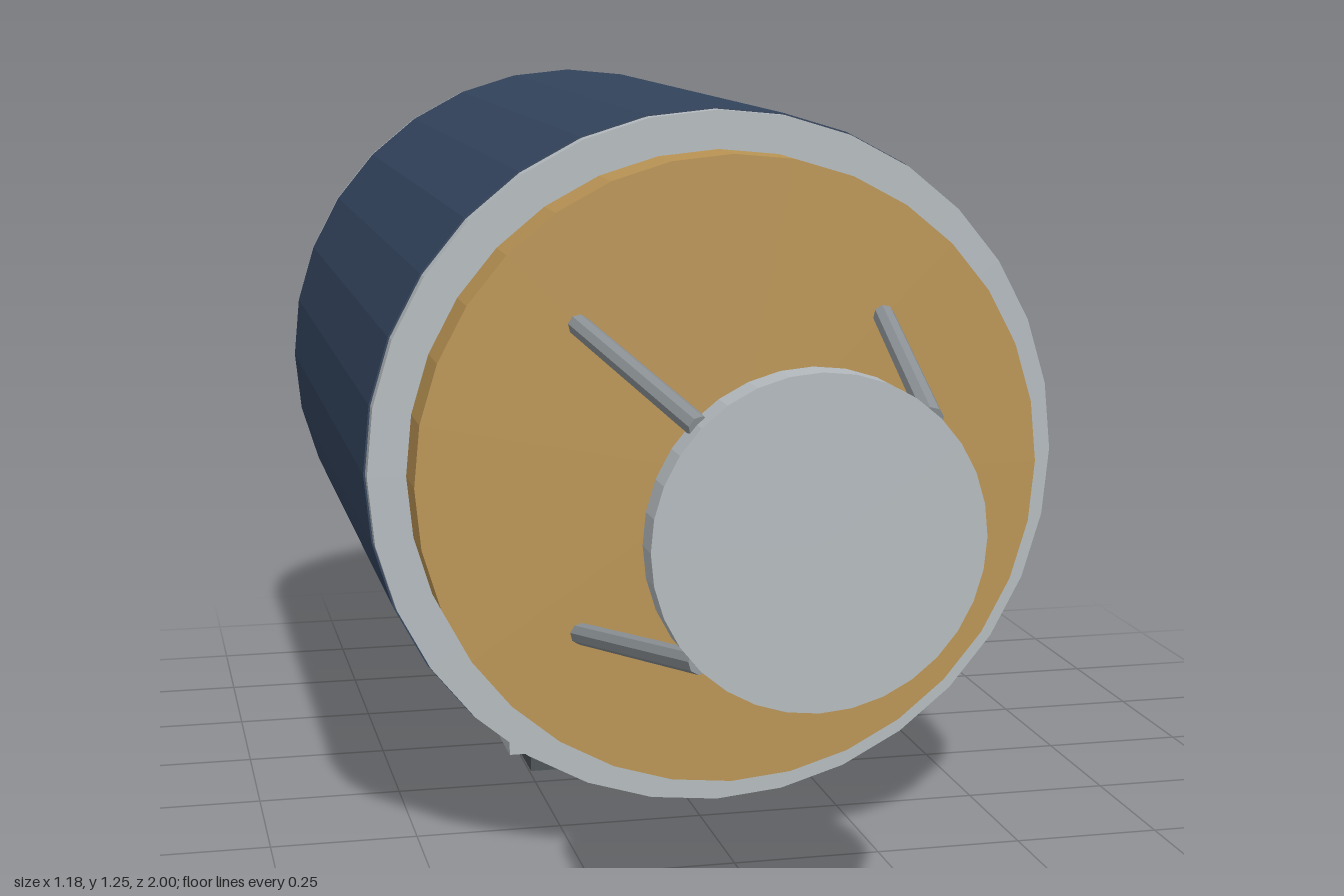
import * as THREE from 'three';

const AXIS_Y = 0.657;

function material(name, color, flatShading = true) {
  const m = new THREE.MeshStandardMaterial({ color, flatShading });
  m.name = name;
  return m;
}

export function createModel() {
  const group = new THREE.Group();
  group.name = 'telescope';
  const silver = material('silver', 0xb4babe);
  const navy = material('navy', 0x32435c);
  const gold = material('gold', 0xba9454);
  const steel = material('steel', 0x8c9296);
  const dark = material('dark grey', 0x4d5357);

  const add = (name, geometry, mat) => {
    const mesh = new THREE.Mesh(geometry, mat);
    mesh.name = name;
    group.add(mesh);
    return mesh;
  };

  // Cylinder along z between two depths, on the main axis
  const drum = (name, radius, z0, z1, mat) => {
    const geometry = new THREE.CylinderGeometry(radius, radius, z1 - z0, 32);
    geometry.rotateX(Math.PI / 2);
    add(name, geometry, mat).position.set(0, AXIS_Y, (z0 + z1) / 2);
  };

  // Main tube with a rim at each end
  drum('tube', 0.589, -0.97, 0.345, navy);
  drum('rearCap', 0.586, -1, -0.97, silver);
  drum('frontRim', 0.586, 0.345, 0.373, silver);

  // Gold mirror ring and the small disc held in front of it
  drum('mirror', 0.522, 0.373, 0.475, gold);
  drum('frontDisc', 0.252, 0.945, 1, silver);

  // Four struts leaning in towards the disc
  const up = new THREE.Vector3(0, 1, 0);
  for (const sx of [-1, 1]) {
    for (const sy of [-1, 1]) {
      const a = new THREE.Vector3(sx * 0.256, AXIS_Y + sy * 0.256, 0.46);
      const b = new THREE.Vector3(sx * 0.173, AXIS_Y + sy * 0.173, 0.97);
      const direction = b.clone().sub(a);
      const strut = add('strut', new THREE.CylinderGeometry(0.018, 0.018, direction.length(), 8), steel);
      strut.position.copy(a).add(b).multiplyScalar(0.5);
      strut.quaternion.setFromUnitVectors(up, direction.normalize());
    }
  }

  // Saddle under the tube and its foot
  add('saddle', new THREE.BoxGeometry(0.584, 0.1, 0.425), silver).position.set(0, 0.095, -0.242);
  add('foot', new THREE.BoxGeometry(0.494, 0.045, 0.355), dark).position.set(0, 0.0225, -0.242);

  return group;
}
